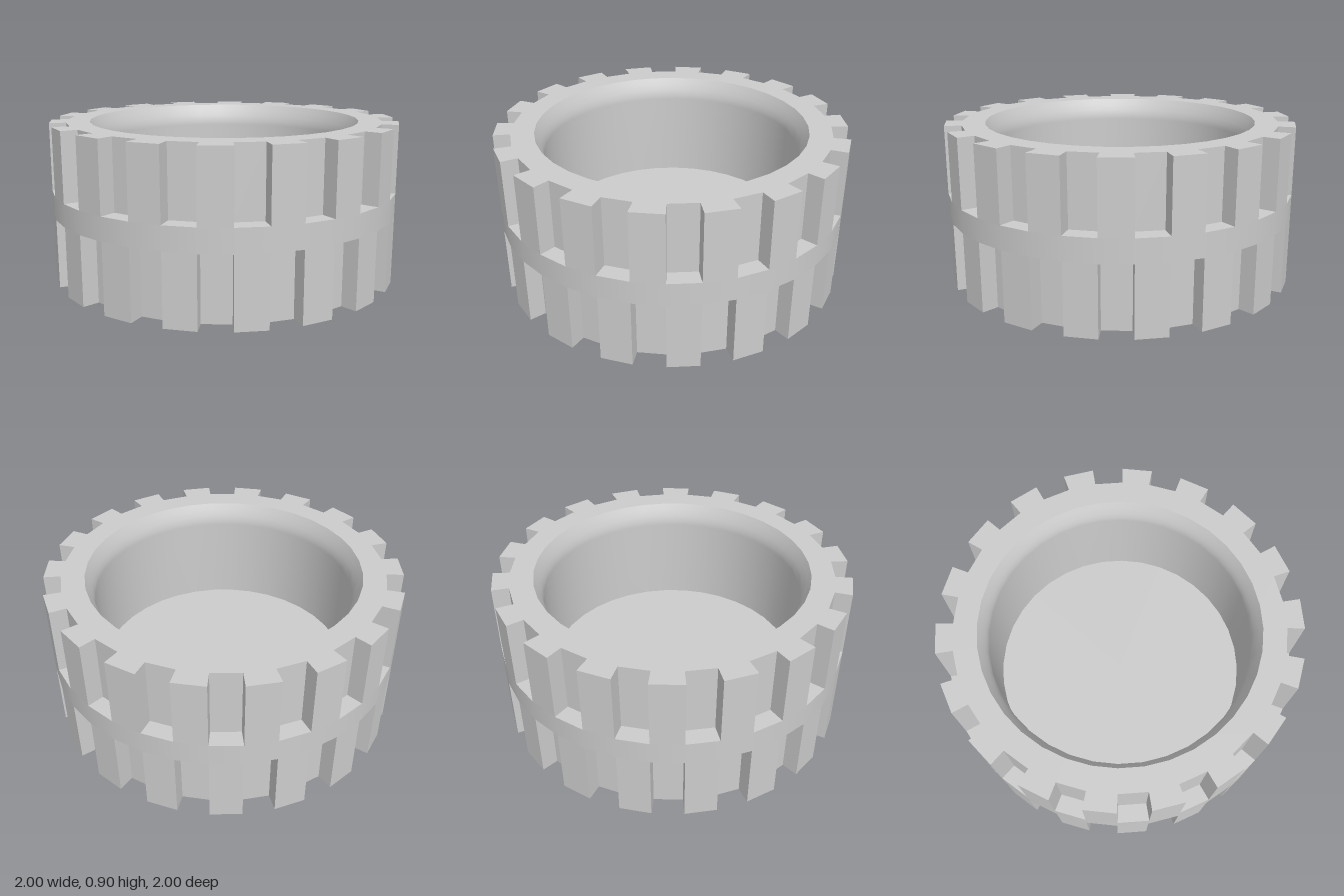
import * as THREE from 'three';

const SIDES = 36, OUTER = 1, GROOVE = 0.905, BORE = 0.775, HEIGHT = 0.905;
const BAND_LOW = 0.39, BAND_HIGH = 0.52;

const point = (r, i, y) => {
  const a = (i / SIDES) * Math.PI * 2;
  return [r * Math.sin(a), y, r * Math.cos(a)];
};

// One row of tread blocks: walls, groove sides, groove ledges and the rim face
function treadRow(yBand, yEdge, grooveParity) {
  const positions = [];
  const mirrored = yEdge < yBand;
  const quad = (a, b, c, d, flip = false) => {
    const q = flip !== mirrored ? [d, c, b, a] : [a, b, c, d];
    for (const k of [0, 1, 2, 0, 2, 3]) positions.push(...q[k]);
  };
  for (let i = 0; i < SIDES; i++) {
    const isGroove = i % 2 === grooveParity;
    const r = isGroove ? GROOVE : OUTER;
    const j = i + 1;
    quad(point(r, i, yBand), point(r, j, yBand), point(r, j, yEdge), point(r, i, yEdge));
    quad(point(BORE, i, yEdge), point(r, i, yEdge), point(r, j, yEdge), point(BORE, j, yEdge));
    if (!isGroove) continue;
    quad(point(GROOVE, i, yBand), point(OUTER, i, yBand), point(OUTER, j, yBand), point(GROOVE, j, yBand));
    for (const k of [i, j]) {
      quad(point(OUTER, k, yBand), point(GROOVE, k, yBand),
        point(GROOVE, k, yEdge), point(OUTER, k, yEdge), k === j);
    }
  }
  const geometry = new THREE.BufferGeometry();
  geometry.setAttribute('position', new THREE.Float32BufferAttribute(positions, 3));
  geometry.computeVertexNormals();
  return geometry;
}

export function createModel() {
  const group = new THREE.Group();
  group.name = 'treadedTire';
  const grey = new THREE.MeshStandardMaterial({ color: 0xcccccc });
  grey.name = 'light grey';

  const add = (name, geometry, y = 0) => {
    const mesh = new THREE.Mesh(geometry, grey);
    mesh.name = name;
    mesh.position.y = y;
    group.add(mesh);
  };

  // Staggered tread rows above and below the smooth centre band
  add('upperTread', treadRow(BAND_HIGH, HEIGHT, 1));
  add('lowerTread', treadRow(BAND_LOW, 0, 0));
  add('centreBand',
    new THREE.CylinderGeometry(OUTER, OUTER, BAND_HIGH - BAND_LOW, SIDES, 1, true),
    (BAND_LOW + BAND_HIGH) / 2);

  // Bore wall with softly bevelled lips at both ends
  const lip = [[BORE, 0], [0.757, 0.035], [0.742, 0.07], [0.733, 0.1], [0.73, 0.13]];
  const profile = [
    ...lip.map(([r, d]) => new THREE.Vector2(r, HEIGHT - d)),
    ...lip.slice().reverse().map(([r, d]) => new THREE.Vector2(r, d)),
  ];
  add('bore', new THREE.LatheGeometry(profile, SIDES));

  // Disc closing the bore near its lower end
  add('floorDisc', new THREE.CylinderGeometry(0.745, 0.745, 0.19, SIDES), 0.165);

  return group;
}
